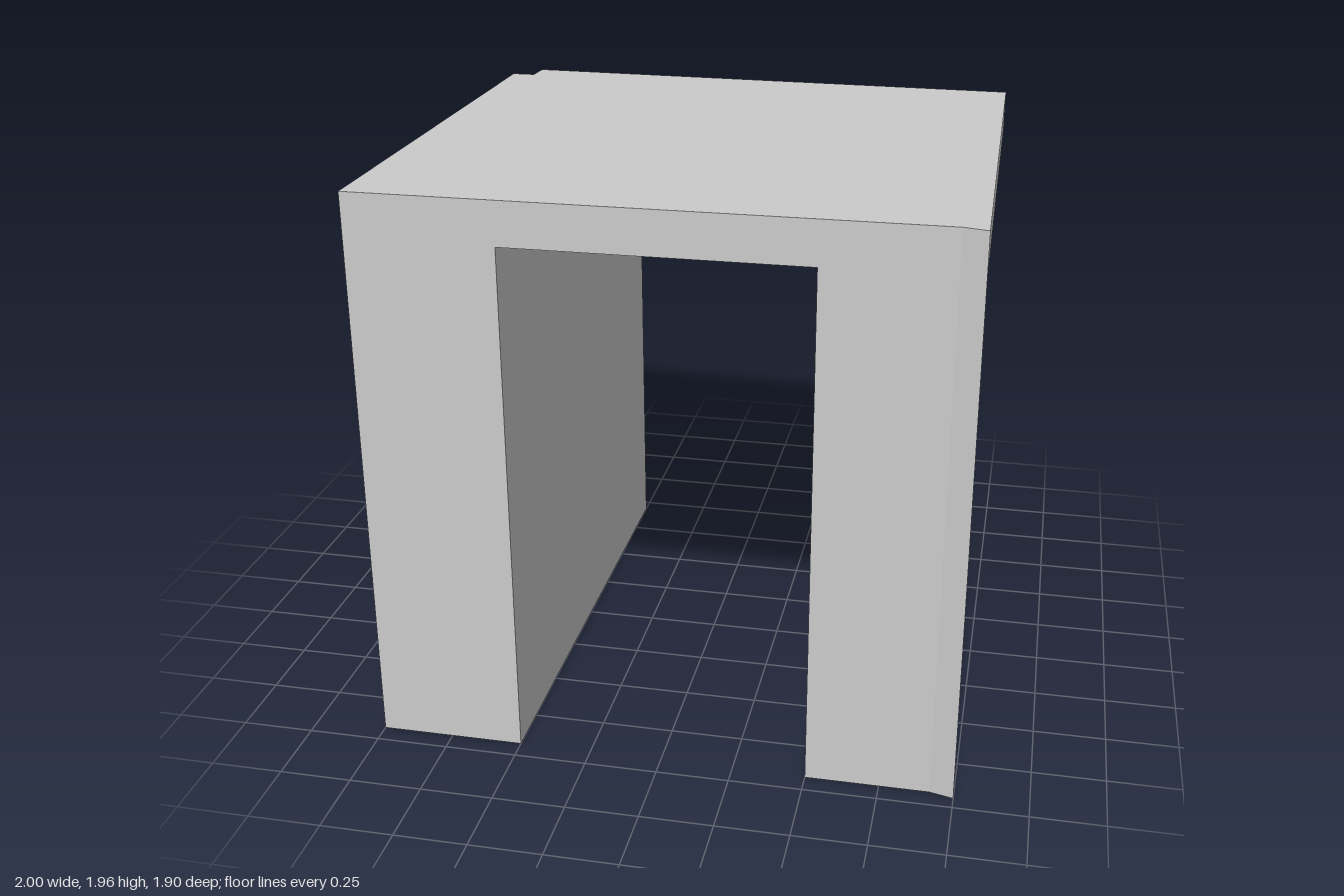
import * as THREE from 'three';

const HEIGHT = 1.96;
const LEG_HEIGHT = 1.81;

// Back face runs slightly skewed across the width
const backZ = (x) => -0.895 - (0.97 - x) * 0.0293;

// Upright prism from a plan outline of [x, z] points
function prism(name, outline, y0, y1, material) {
  const shape = new THREE.Shape(outline.map(([x, z]) => new THREE.Vector2(x, -z)));
  const geometry = new THREE.ExtrudeGeometry(shape, { depth: y1 - y0, bevelEnabled: false });
  geometry.rotateX(-Math.PI / 2);
  geometry.translate(0, y0, 0);
  const mesh = new THREE.Mesh(geometry, material);
  mesh.name = name;
  return mesh;
}

export function createModel() {
  const group = new THREE.Group();
  group.name = 'archBlock';
  const material = new THREE.MeshStandardMaterial({ color: 0xcccccc, flatShading: true });

  // Top slab with a notch at one back corner
  group.add(prism('topSlab', [
    [-1, 0.93], [0.92, 0.93], [1, 0.95], [0.97, backZ(0.97)],
    [-0.91, backZ(-0.91)], [-0.915, -0.85], [-1, -0.85],
  ], LEG_HEIGHT, HEIGHT, material));

  // Left wall, its outer face tapering in under the slab
  group.add(prism('leftWall', [
    [0.5, 0.93], [0.92, 0.93], [1, 0.95], [0.918, backZ(0.918)], [0.5, backZ(0.5)],
  ], 0, LEG_HEIGHT, material));

  // Right wall, with a slanted notch at the back corner
  group.add(prism('rightWall', [
    [-1, 0.93], [-0.5, 0.93], [-0.5, backZ(-0.5)], [-0.835, backZ(-0.835)],
    [-0.917, -0.85], [-1, -0.85],
  ], 0, LEG_HEIGHT, material));

  return group;
}
